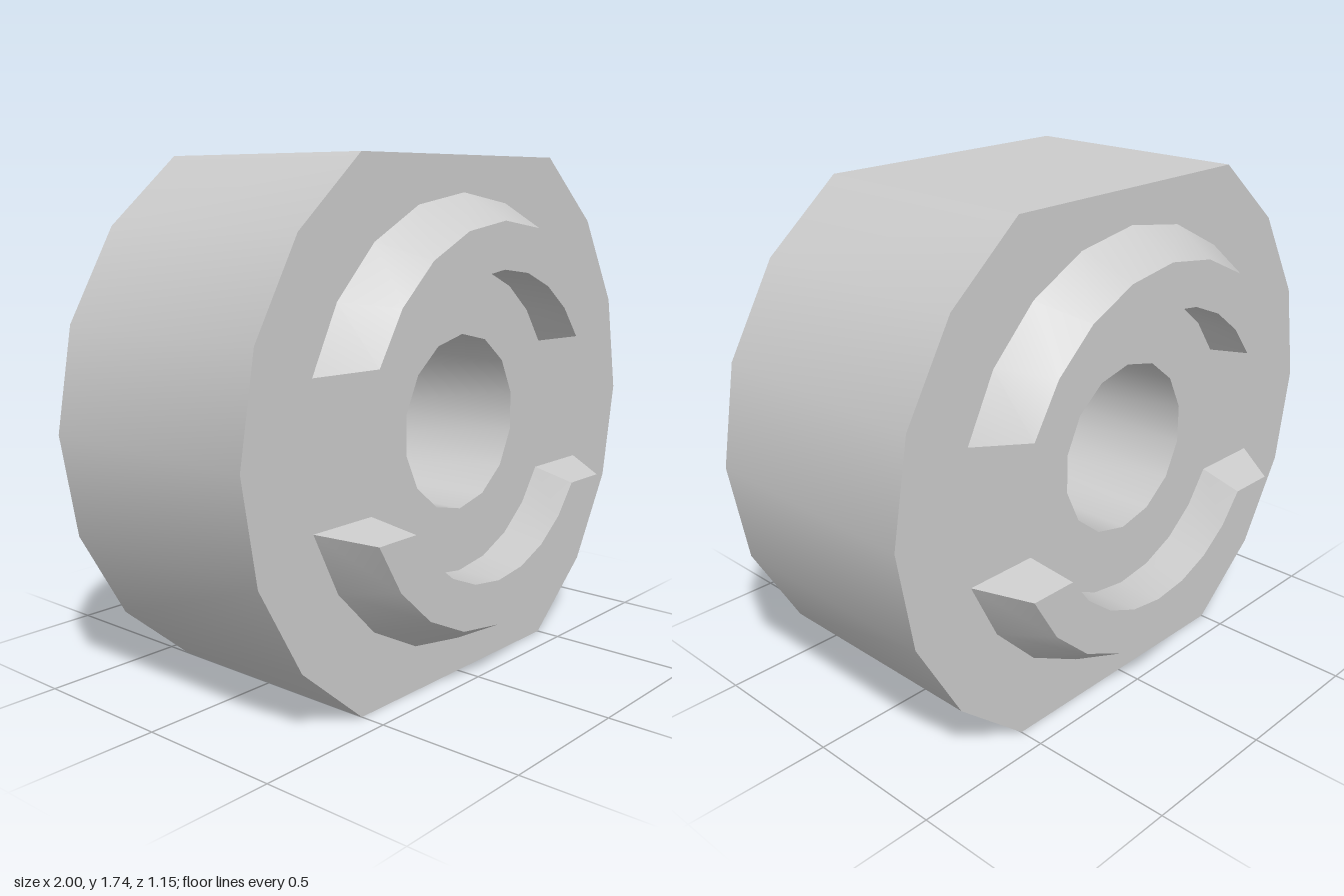
import * as THREE from 'three';
import { toCreasedNormals } from 'three/addons/utils/BufferGeometryUtils.js';

const CENTRE_Y = 0.868, FACE_Z = 0.413, LUG_Z = 0.577;
const material = new THREE.MeshStandardMaterial({ color: 0xcccccc });
const polar = (r, deg) => [r * Math.cos(deg * Math.PI / 180), r * Math.sin(deg * Math.PI / 180)];

// Round block with flats on top and bottom and a bore through the middle
function bodyGeometry() {
  const rim = [];
  for (let a = 0; a < 360; a += 20) {
    if (a === 80 || a === 100 || a === 260 || a === 280) continue; // skipped corners make the flats
    const [x, y] = polar(1, a);
    rim.push(new THREE.Vector2(x, y * CENTRE_Y / 0.866));
  }
  const shape = new THREE.Shape(rim);
  const bore = [];
  for (let i = 0; i < 14; i++) bore.push(new THREE.Vector2(...polar(0.294, 90 - i * 360 / 14)));
  shape.holes.push(new THREE.Path(bore));
  const geo = new THREE.ExtrudeGeometry(shape, { depth: 2 * FACE_Z, bevelEnabled: false });
  geo.translate(0, 0, -FACE_Z);
  return toCreasedNormals(geo, 0.6);
}

// Arc-shaped lug: straight inner wall, sloping outer wall and sloping ends
function lugGeometry() {
  const steps = 8;
  // each rail of the section: radius, z, height of its ends above the axis
  const rails = [
    [0.75, FACE_Z, 0.23],
    [0.663, LUG_Z, 0.26],
    [0.51, LUG_Z, 0.26],
    [0.51, FACE_Z, 0.23],
  ];
  const pos = [], index = [];
  for (let i = 0; i <= steps; i++) {
    for (const [r, z, h] of rails) {
      const start = Math.asin(h / r) * 180 / Math.PI;
      pos.push(...polar(r, start + (180 - 2 * start) * i / steps), z);
    }
  }
  for (let i = 0; i < steps; i++) {
    for (let k = 0; k < 3; k++) {
      const a = i * 4 + k, b = a + 4;
      index.push(a, b, b + 1, a, b + 1, a + 1);
    }
  }
  const e = steps * 4;
  index.push(0, 1, 2, 0, 2, 3, e, e + 2, e + 1, e, e + 3, e + 2);
  const geo = new THREE.BufferGeometry();
  geo.setAttribute('position', new THREE.Float32BufferAttribute(pos, 3));
  geo.setIndex(index);
  return toCreasedNormals(geo, 0.5);
}

export function createModel() {
  const model = new THREE.Group();
  model.name = 'flattenedCoupling';

  const body = new THREE.Mesh(bodyGeometry(), material);
  body.name = 'body';
  body.position.y = CENTRE_Y;
  model.add(body);

  // Upper and lower lug on the front and on the back
  const lug = lugGeometry();
  for (const side of ['front', 'back']) {
    for (const level of ['Upper', 'Lower']) {
      const mesh = new THREE.Mesh(lug, material);
      mesh.name = `${side}${level}Lug`;
      mesh.position.y = CENTRE_Y;
      mesh.rotation.set(0, side === 'back' ? Math.PI : 0, level === 'Lower' ? Math.PI : 0);
      model.add(mesh);
    }
  }
  return model;
}
